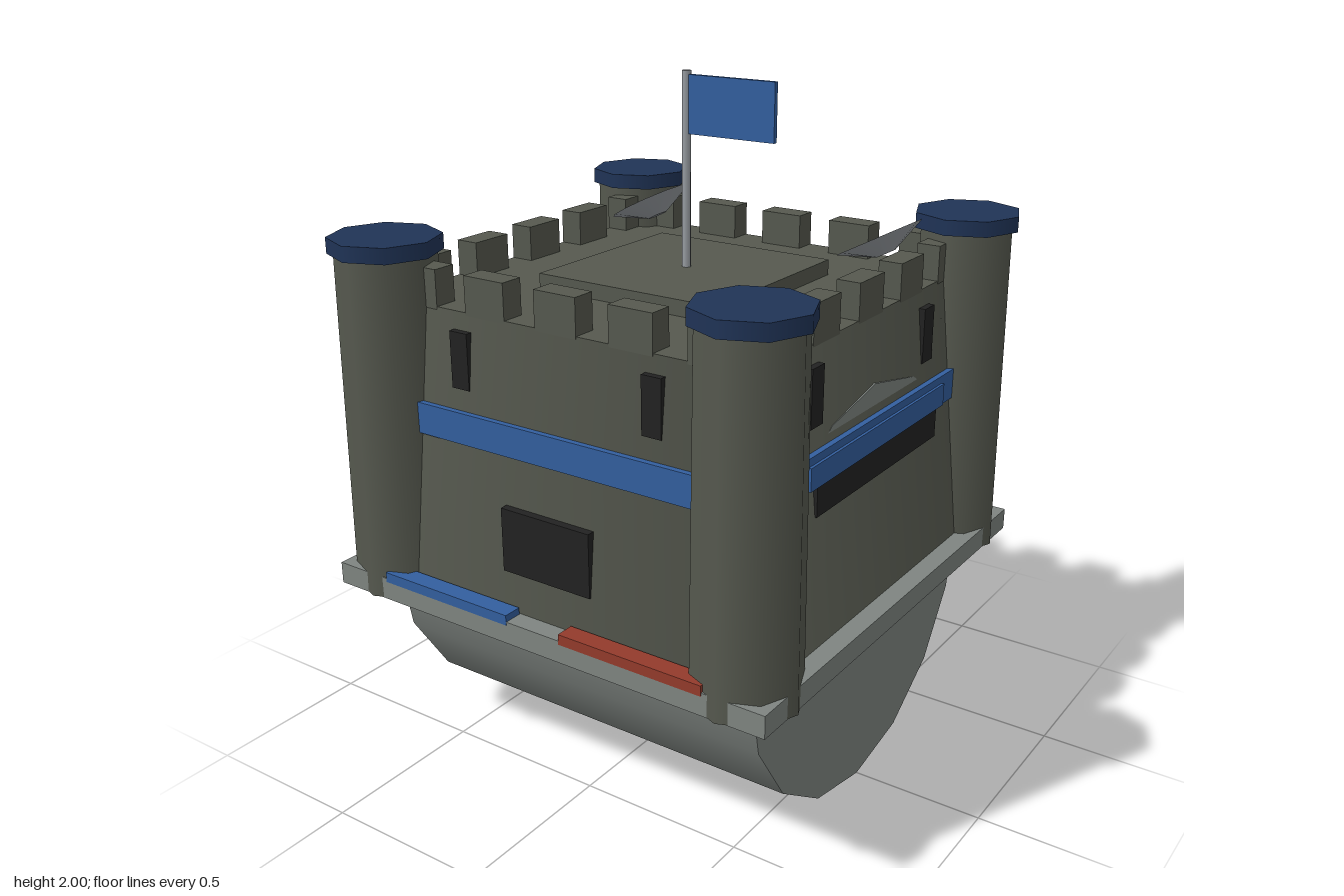
import * as THREE from 'three';

const mat = (name, color) => Object.assign(new THREE.MeshStandardMaterial({ color }), { name });

export function createModel() {
  const root = new THREE.Group();
  root.name = 'castle';
  const stone = mat('wall stone', 0x56594f);
  const grey = mat('hull grey', 0x7f8581);
  const metal = mat('light metal', 0x999ea3);
  const blue = mat('blue', 0x335f9f);
  const navy = mat('navy', 0x203457);
  const red = mat('red', 0x943b2c);
  const dark = mat('dark opening', 0x222222);

  const add = (name, geo, material, x, y, z, parent = root) => {
    const m = new THREE.Mesh(geo, material);
    m.name = name;
    m.position.set(x, y, z);
    parent.add(m);
    return m;
  };
  // box given by its size and centre
  const box = (name, material, w, h, d, x, y, z, parent) =>
    add(name, new THREE.BoxGeometry(w, h, d), material, x, y, z, parent);

  // round hull lying along x
  const hull = new THREE.CylinderGeometry(0.612, 0.612, 1.225, 16);
  hull.rotateZ(Math.PI / 2);
  add('hull', hull, grey, 0, 0.612, 0);

  // base plate and tapered keep
  box('basePlate', grey, 1.45, 0.065, 1.45, 0, 0.5825, 0);
  const keep = new THREE.CylinderGeometry(0.588 * Math.SQRT2, 0.673 * Math.SQRT2, 0.858, 4);
  keep.rotateY(Math.PI / 4);
  add('keep', keep, stone, 0, 0.981, 0);
  box('roofPlatform', stone, 0.59, 0.06, 0.59, 0, 1.425, 0);

  // corner towers with octagonal caps
  for (const sx of [-1, 1]) for (const sz of [-1, 1]) {
    add('tower', new THREE.CylinderGeometry(0.14, 0.15, 0.99, 8), stone, sx * 0.588, 1.047, sz * 0.588);
    add('towerCap', new THREE.CylinderGeometry(0.157, 0.157, 0.045, 8), navy, sx * 0.588, 1.56, sz * 0.588);
  }

  // four walls, each built facing +z and turned into place
  ['front', 'left', 'back', 'right'].forEach((side, i) => {
    const wall = new THREE.Group();
    wall.name = side + 'Wall';
    wall.rotation.y = i * Math.PI / 2;
    root.add(wall);
    for (let k = -2; k <= 2; k++)
      box('battlement', stone, 0.135, 0.11, 0.07, k * 0.2375, 1.457, 0.554, wall);
    for (const s of [-1, 1])
      box('slitWindow', dark, 0.06, 0.16, 0.03, s * 0.315, 1.28, 0.597, wall);
    box('band', blue, 0.93, 0.09, 0.03, 0, 1.095, 0.617, wall);
    if (i % 2 === 0) {
      box('window', dark, 0.295, 0.185, 0.03, 0, 0.82, 0.646, wall);
    } else {
      box('sideOpening', dark, 0.69, 0.085, 0.03, 0, 1.01, 0.622, wall);
      box('sidePanel', i === 1 ? blue : red, 0.77, 0.065, 0.02, 0, 1.085, 0.63, wall);
    }
  });

  // coloured slabs on the front and back ledges
  for (const sz of [-1, 1]) {
    box('blueSlab', blue, 0.45, 0.03, 0.055, -0.315, 0.62, sz * 0.6985);
    box('redSlab', red, 0.45, 0.03, 0.055, 0.315, 0.62, sz * 0.6985);
  }

  // flag
  add('flagPole', new THREE.CylinderGeometry(0.013, 0.013, 0.56, 8), metal, 0, 1.72, 0);
  box('flag', blue, 0.272, 0.16, 0.014, 0.148, 1.91, 0);

  // tilted dishes
  for (const [x, y] of [[-0.418, 1.522], [0.395, 1.512]]) {
    const geo = new THREE.CylinderGeometry(0.134, 0.03, 0.052, 12);
    geo.translate(0, -0.026, 0);
    add('dish', geo, metal, x, y, -0.41).rotation.z = 0.49;
  }

  // lever on the right wall
  box('lever', navy, 0.035, 0.28, 0.022, -0.665, 0.665, 0).rotation.z = 0.17;
  box('leverGuard', dark, 0.09, 0.035, 0.008, -0.69, 0.69, 0.025);

  return root;
}
